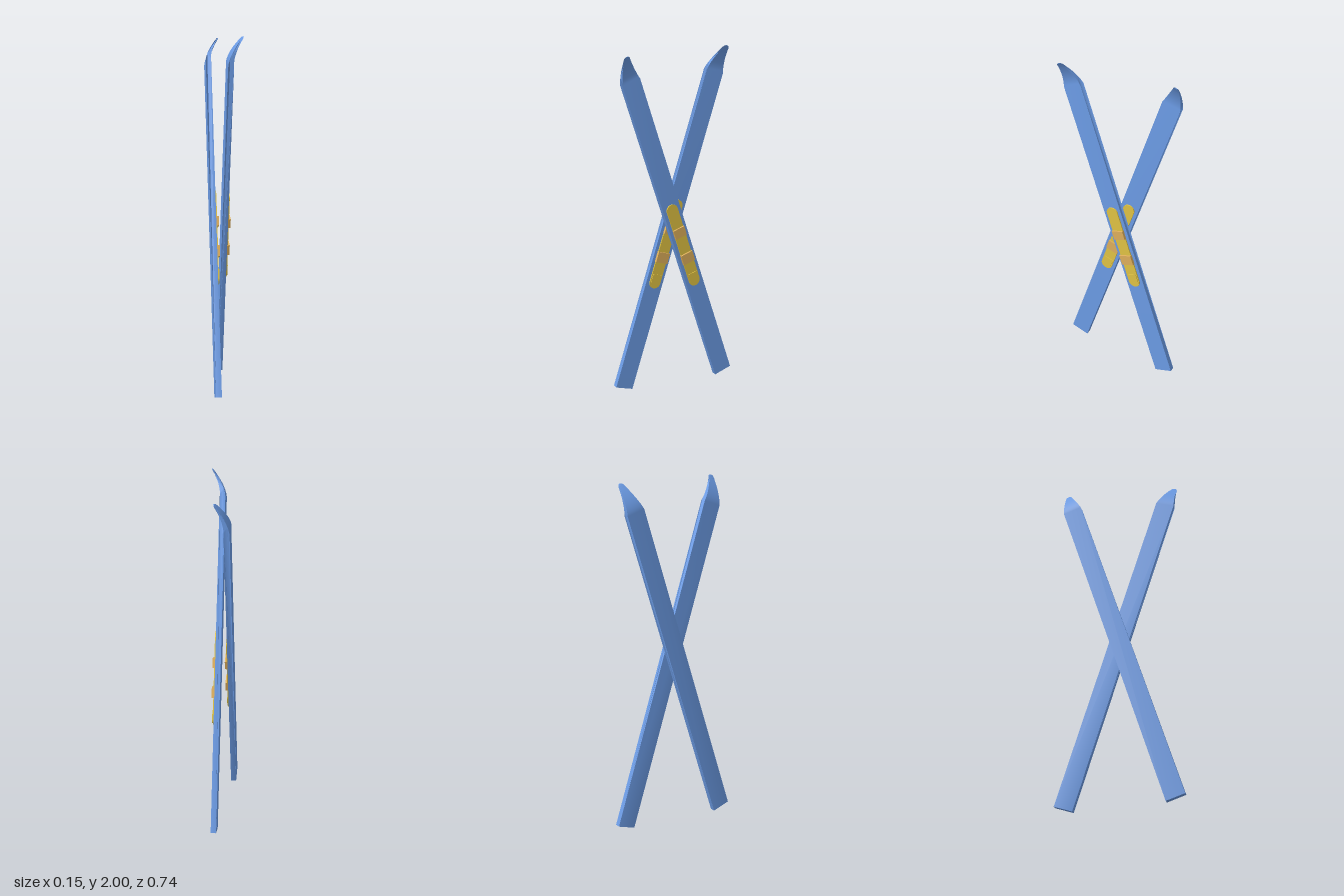
import * as THREE from 'three';
import { toCreasedNormals } from 'three/addons/utils/BufferGeometryUtils.js';

const WIDTH = 0.11, THICK = 0.032, BEND = 1.927, LENGTH = 2.084;
const TILT = THREE.MathUtils.degToRad(18);

const blue = new THREE.MeshStandardMaterial({ color: 0x6c9ce6 });
const yellow = new THREE.MeshStandardMaterial({ color: 0xe2c444 });
const orange = new THREE.MeshStandardMaterial({ color: 0xe0b05c });

function addMesh(parent, name, geometry, material) {
  const mesh = new THREE.Mesh(geometry, material);
  mesh.name = name;
  parent.add(mesh);
  return mesh;
}

// Half width along the ski: constant, then tapering to a small rounded tip
function halfWidth(y) {
  const round = 0.02, start = LENGTH - round;
  if (y <= BEND) return WIDTH / 2;
  if (y <= start) return THREE.MathUtils.lerp(WIDTH / 2, 0.018, (y - BEND) / (start - BEND));
  return 0.018 * Math.sqrt(Math.max(0.004, 1 - ((y - start) / round) ** 2));
}

// Side profile with an upturned tip, extruded across the width and pinched
function skiGeometry() {
  const sole = [], top = [], steps = 20;
  for (let i = 0; i <= steps; i++) {
    const t = Math.sin((i / steps) * Math.PI / 2);
    const y = BEND + (LENGTH - BEND) * t;
    const x = 0.078 * t ** 1.65;
    sole.push(new THREE.Vector2(x, y));
    top.push(new THREE.Vector2(x + THREE.MathUtils.lerp(THICK, 0.006, t), y));
  }
  const profile = new THREE.Shape([
    new THREE.Vector2(0, 0), new THREE.Vector2(THICK, 0), ...top, ...sole.reverse(),
  ]);
  const geo = new THREE.ExtrudeGeometry(profile, { depth: WIDTH, bevelEnabled: false });
  geo.translate(0, 0, -WIDTH / 2);
  const p = geo.attributes.position;
  for (let i = 0; i < p.count; i++) {
    p.setZ(i, Math.sign(p.getZ(i)) * halfWidth(p.getY(i)));
  }
  return toCreasedNormals(geo, 0.6);
}

// Flat plate with a round lower end and a round or square upper end, facing +x
function plateGeometry(y0, y1, radius, depth, roundTop) {
  const s = new THREE.Shape();
  s.absarc(0, y0 + radius, radius, Math.PI, Math.PI * 2, false);
  if (roundTop) {
    s.absarc(0, y1 - radius, radius, 0, Math.PI, false);
  } else {
    s.lineTo(radius, y1);
    s.lineTo(-radius, y1);
  }
  s.closePath();
  const geo = new THREE.ExtrudeGeometry(s, { depth, bevelEnabled: false, curveSegments: 16 });
  geo.rotateY(Math.PI / 2);
  geo.translate(THICK, 0, 0);
  return toCreasedNormals(geo, 0.6);
}

function createBinding() {
  const binding = new THREE.Group();
  binding.name = 'binding';
  addMesh(binding, 'bindingPlate', plateGeometry(0.63, 1.17, 0.035, 0.007, true), yellow);
  addMesh(binding, 'heelPad', plateGeometry(0.637, 0.715, 0.029, 0.011, false), yellow);

  // Heel and toe clamps straddling the plate
  for (const [name, y, length, width] of [
    ['heelClamp', 0.82, 0.062, 0.076],
    ['toeClamp', 0.99, 0.056, 0.072],
  ]) {
    const clamp = addMesh(binding, name, new THREE.BoxGeometry(0.017, length, width), orange);
    clamp.position.set(THICK + 0.0085, y, 0);
  }
  return binding;
}

function createSki(name, x, side) {
  const ski = new THREE.Group();
  ski.name = name;
  addMesh(ski, 'skiBoard', skiGeometry(), blue);
  ski.add(createBinding());
  ski.rotation.x = side * TILT;
  ski.position.set(x, 0.017, side * -0.317);
  return ski;
}

export function createModel() {
  const model = new THREE.Group();
  model.name = 'crossedSkis';
  model.add(createSki('leftSki', -0.01, 1), createSki('rightSki', -0.079, -1));
  return model;
}
